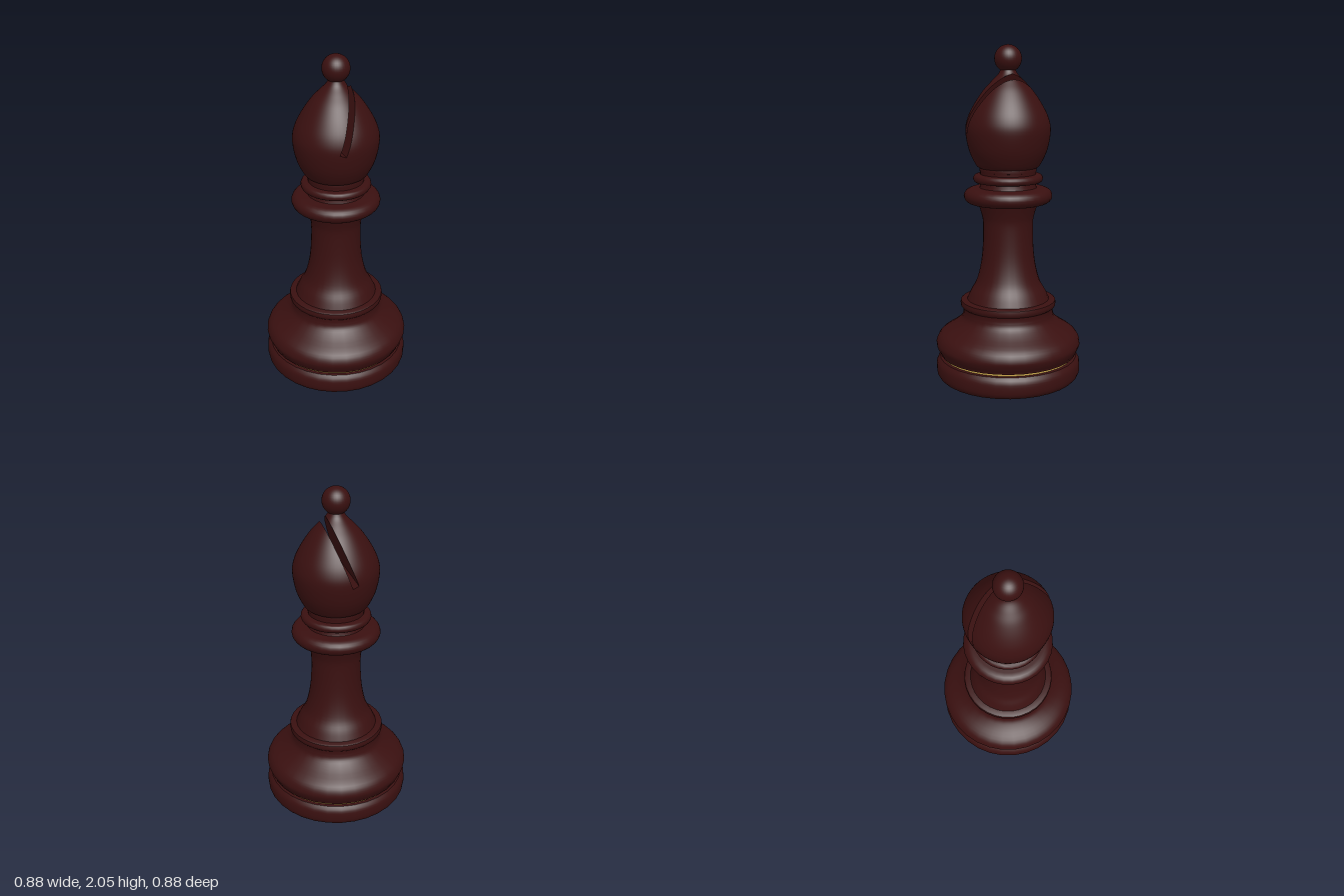
import * as THREE from 'three';
import { toCreasedNormals } from 'three/addons/utils/BufferGeometryUtils.js';

const SEGMENTS = 32;
const wood = new THREE.MeshStandardMaterial({ name: 'darkMahogany', color: 0x3a1010 });
const gold = new THREE.MeshStandardMaterial({ name: 'goldInlay', color: 0xc9a44c });

const vectors = (pairs) => pairs.map(([r, y]) => new THREE.Vector2(r, y));

// Smooth [radius, height] curve through a few profile points
const smooth = (pairs, n = 24) =>
  new THREE.SplineCurve(vectors(pairs)).getPoints(n).map((p) => [Math.max(p.x, 0), p.y]);

// Half-round moulding, from the bottom edge to the top edge
function bead(inner, outer, y0, y1, n = 12) {
  const points = [];
  for (let i = 0; i <= n; i++) {
    const a = -Math.PI / 2 + (Math.PI * i) / n;
    points.push([inner + (outer - inner) * Math.cos(a), (y0 + y1) / 2 + ((y1 - y0) / 2) * Math.sin(a)]);
  }
  return points;
}

function turned(name, profile, material = wood) {
  const geometry = toCreasedNormals(new THREE.LatheGeometry(vectors(profile), SEGMENTS), 0.7);
  const mesh = new THREE.Mesh(geometry, material);
  mesh.name = name;
  return mesh;
}

// Head outline
const headProfile = smooth([
  [0.165, 1.285], [0.19, 1.305], [0.23, 1.39], [0.25, 1.5], [0.238, 1.577], [0.2, 1.656],
  [0.147, 1.735], [0.1, 1.787], [0.058, 1.83], [0.04, 1.865],
], 40);

function headRadius(y) {
  for (let i = 1; i < headProfile.length; i++) {
    const [r0, y0] = headProfile[i - 1], [r1, y1] = headProfile[i];
    if (y <= y1) return r0 + ((r1 - r0) * (y - y0)) / (y1 - y0);
  }
  return 0;
}

// Slanted slot: n points across it, d along it; it lies between n = A and n = B, above d = FLOOR
const angle = Math.atan2(0.349, 0.937);
const N = [Math.cos(angle), -Math.sin(angle)];
const D = [Math.sin(angle), Math.cos(angle)];
const A = -0.584, B = -0.547, FLOOR = 1.387, TOP = 1.97;
const along = (axis, v) => v[0] * axis[0] + v[1] * axis[1];

// Keep the part of a polygon where the signed distance is not negative
function clip(polygon, distance) {
  const out = [];
  polygon.forEach((p, i) => {
    const q = polygon[(i + 1) % polygon.length];
    const a = distance(p), b = distance(q);
    if (a >= 0) out.push(p);
    if ((a >= 0) !== (b >= 0)) out.push(p.map((v, k) => v + ((q[k] - v) * a) / (a - b)));
  });
  return out;
}

function slottedShell() {
  const source = new THREE.LatheGeometry(vectors(headProfile), SEGMENTS * 2).toNonIndexed();
  const { position, normal } = source.attributes;
  const positions = [], normals = [];
  const emit = (polygon) => {
    for (let i = 2; i < polygon.length; i++) {
      for (const v of [polygon[0], polygon[i - 1], polygon[i]]) {
        positions.push(v[0], v[1], v[2]);
        normals.push(v[3], v[4], v[5]);
      }
    }
  };
  for (let i = 0; i < position.count; i += 3) {
    const triangle = [i, i + 1, i + 2].map((k) => [
      position.getX(k), position.getY(k), position.getZ(k),
      normal.getX(k), normal.getY(k), normal.getZ(k),
    ]);
    emit(clip(triangle, (v) => A - along(N, v)));
    emit(clip(triangle, (v) => along(N, v) - B));
    const middle = clip(clip(triangle, (v) => along(N, v) - A), (v) => B - along(N, v));
    emit(clip(middle, (v) => FLOOR - along(D, v)));
  }
  const geometry = new THREE.BufferGeometry();
  geometry.setAttribute('position', new THREE.Float32BufferAttribute(positions, 3));
  geometry.setAttribute('normal', new THREE.Float32BufferAttribute(normals, 3));
  return geometry;
}

// Flat slot face spanning the head from back to front, between two (n, d) points
function slotFace(name, from, to, steps, flip) {
  const positions = [];
  const edge = (t) => {
    const n = from[0] + (to[0] - from[0]) * t, d = from[1] + (to[1] - from[1]) * t;
    const x = n * N[0] + d * D[0], y = n * N[1] + d * D[1];
    const z = Math.sqrt(Math.max(0, headRadius(y) ** 2 - x * x));
    return [[x, y, -z], [x, y, z]];
  };
  for (let i = 0; i < steps; i++) {
    const [a, b] = edge(i / steps), [c, d] = edge((i + 1) / steps);
    const corners = flip ? [a, d, c, a, b, d] : [a, c, d, a, d, b];
    positions.push(...corners.flat());
  }
  const geometry = new THREE.BufferGeometry();
  geometry.setAttribute('position', new THREE.Float32BufferAttribute(positions, 3));
  // One normal for the whole flat face
  const axis = from[0] === to[0] ? N : D;
  const sign = axis === N && flip ? -1 : 1;
  const normals = [];
  for (let i = 0; i < positions.length; i += 3) normals.push(axis[0] * sign, axis[1] * sign, 0);
  geometry.setAttribute('normal', new THREE.Float32BufferAttribute(normals, 3));
  const mesh = new THREE.Mesh(geometry, wood);
  mesh.name = name;
  return mesh;
}

export function createModel() {
  const model = new THREE.Group();
  model.name = 'bishopChessPiece';

  // Foot, gold line and swelling base
  model.add(turned('foot', [
    [0, 0], [0.17, 0], [0.18, 0.008], [0.412, 0.01],
    ...smooth([[0.418, 0.014], [0.433, 0.035], [0.438, 0.07], [0.434, 0.11], [0.415, 0.138]], 12),
    [0.39, 0.141],
  ]));
  model.add(turned('goldLine', [[0.385, 0.139], [0.398, 0.141], [0.398, 0.155], [0.385, 0.157]], gold));
  model.add(turned('base', [
    [0.385, 0.154], [0.412, 0.156],
    ...smooth([[0.414, 0.165], [0.43, 0.195], [0.436, 0.23], [0.41, 0.28], [0.33, 0.335],
      [0.285, 0.375], [0.272, 0.41], [0.272, 0.445]], 28),
  ]));

  // Lower collar and flared stem
  model.add(turned('lowerCollar', [
    [0.26, 0.443], [0.278, 0.445], [0.286, 0.453], [0.288, 0.47], [0.285, 0.486], [0.276, 0.492], [0.22, 0.492],
  ]));
  model.add(turned('stem', smooth([
    [0.25, 0.485], [0.225, 0.54], [0.19, 0.605], [0.165, 0.7], [0.152, 0.81], [0.149, 0.95],
    [0.158, 1.01], [0.178, 1.075], [0.18, 1.09],
  ], 32)));

  // Upper collar, neck and ring
  model.add(turned('upperCollar', [[0.16, 1.075], ...bead(0.21, 0.263, 1.075, 1.167), [0.14, 1.172]]));
  model.add(turned('neck', [[0.175, 1.16], [0.165, 1.18], [0.165, 1.255], [0.17, 1.295]]));
  model.add(turned('neckRing', [[0.155, 1.2], ...bead(0.185, 0.207, 1.2, 1.248, 8), [0.155, 1.25]]));
  model.add(turned('headFillet', [[0.155, 1.262], [0.168, 1.266], [0.17, 1.28], [0.168, 1.29]]));

  // Slotted head
  const head = new THREE.Group();
  head.name = 'slottedHead';
  const shell = new THREE.Mesh(slottedShell(), wood);
  shell.name = 'headShell';
  head.add(
    shell,
    slotFace('slotLowerWall', [A, FLOOR], [A, TOP], 48, false),
    slotFace('slotUpperWall', [B, FLOOR], [B, TOP], 48, true),
    slotFace('slotFloor', [A, FLOOR], [B, FLOOR], 4, true),
  );
  model.add(head);

  // Ball finial
  const ball = new THREE.Mesh(new THREE.SphereGeometry(0.08, SEGMENTS, 20), wood);
  ball.name = 'ballFinial';
  ball.position.y = 1.92;
  model.add(ball);

  return model;
}
